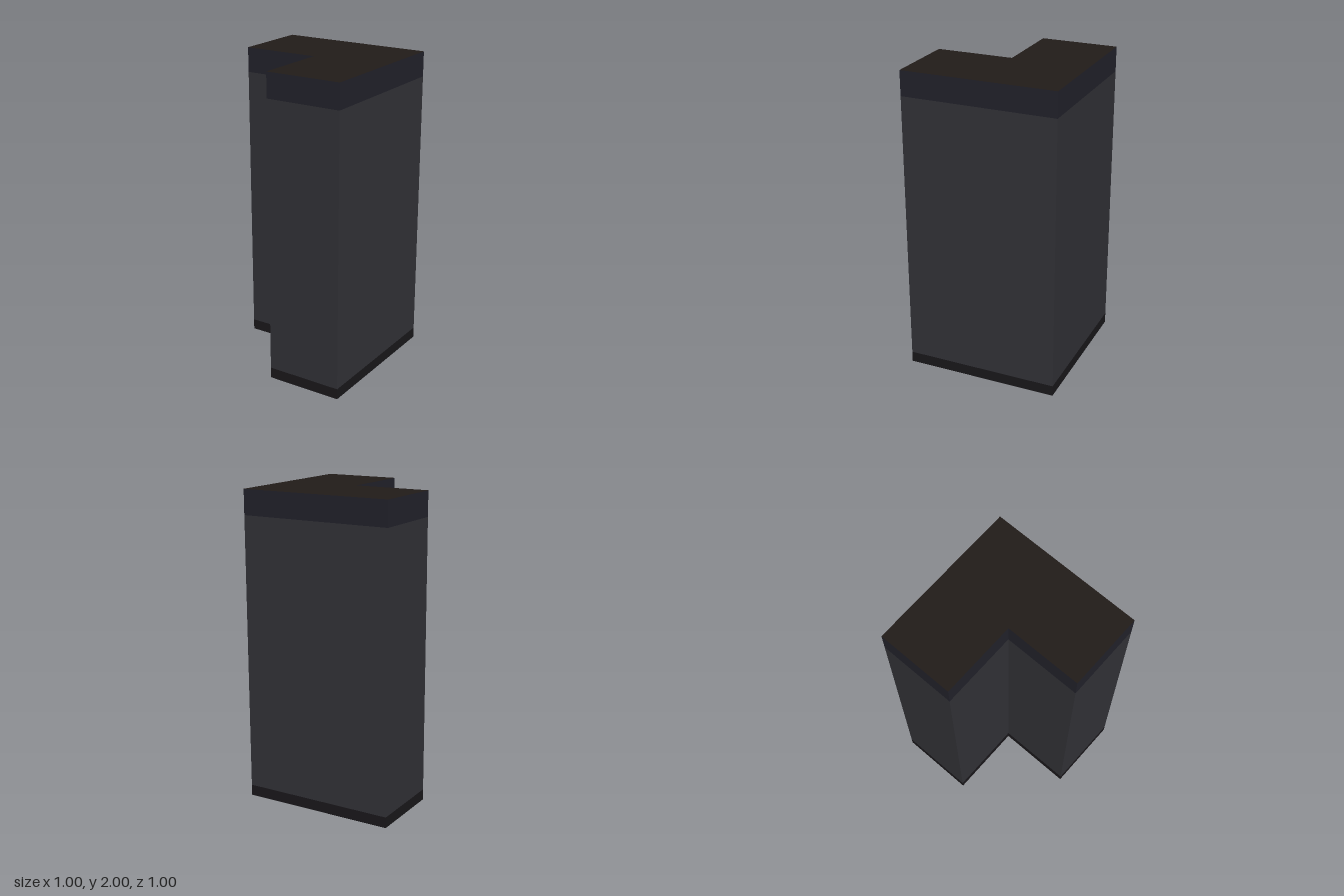
import * as THREE from 'three';

// L-shaped plan as [x, z], counter-clockwise seen from above
const outline = [[-0.5, 0], [0, 0], [0, 0.5], [0.5, 0.5], [0.5, -0.5], [-0.5, -0.5]];

function makeMesh(name, geometry, color) {
  const material = new THREE.MeshStandardMaterial({ color, side: THREE.DoubleSide });
  const mesh = new THREE.Mesh(geometry, material);
  mesh.name = name;
  return mesh;
}

// Thin wall following the plan between two heights, one flat quad per side
function wallBand(y0, y1) {
  const positions = [];
  const indices = [];
  outline.forEach(([ax, az], i) => {
    const [bx, bz] = outline[(i + 1) % outline.length];
    const n = i * 4;
    positions.push(ax, y0, az, bx, y0, bz, bx, y1, bz, ax, y1, az);
    indices.push(n, n + 1, n + 2, n, n + 2, n + 3);
  });
  const geometry = new THREE.BufferGeometry();
  geometry.setAttribute('position', new THREE.Float32BufferAttribute(positions, 3));
  geometry.setIndex(indices);
  geometry.computeVertexNormals();
  return geometry;
}

export function createModel() {
  const group = new THREE.Group();
  group.name = 'cornerBlock';

  // Walls in three coloured bands, open underneath
  group.add(makeMesh('bottomBand', wallBand(0, 0.07), 0x19171a));
  group.add(makeMesh('walls', wallBand(0.07, 1.84), 0x313136));
  group.add(makeMesh('topBand', wallBand(1.84, 2), 0x21212a));

  // Flat top cover
  const plan = new THREE.Shape(outline.map(([x, z]) => new THREE.Vector2(x, -z)));
  const top = new THREE.ShapeGeometry(plan).rotateX(-Math.PI / 2).translate(0, 2, 0);
  group.add(makeMesh('topCover', top, 0x211b18));

  return group;
}
